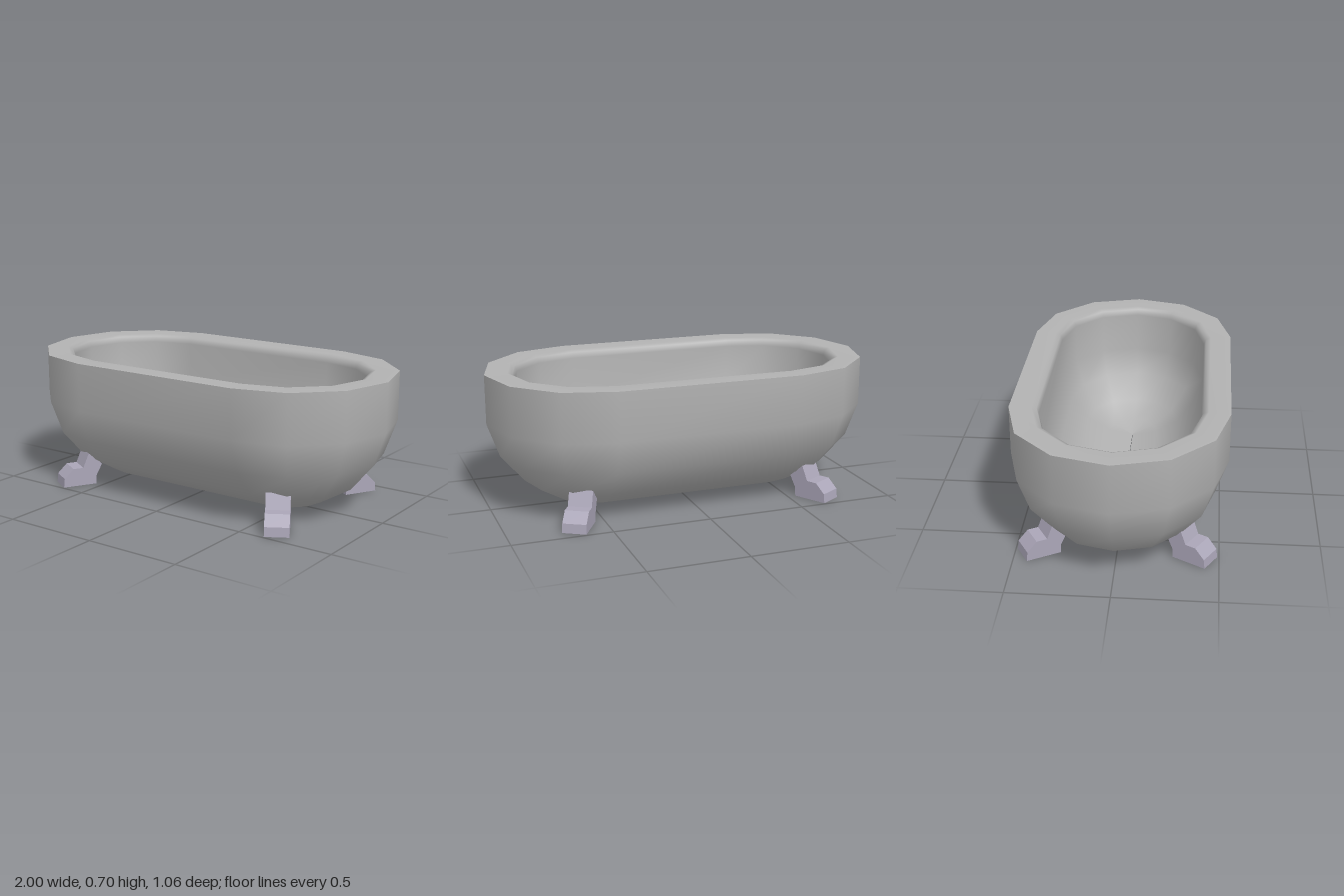
import * as THREE from 'three';

const HALF = 6; // facets in each rounded end

// Closed loft of stadium rings; each ring is [straight half length, end radius in x, radius in z, y].
function stadiumShell(rings) {
  const pos = [], idx = [];
  const n = 2 * (HALF + 1);
  for (const [len, rx, rz, y] of rings) {
    for (let i = 0; i < n; i++) {
      const end = i <= HALF ? 1 : -1;
      const k = end > 0 ? i : i - 1;
      const a = Math.PI / 2 - (k * Math.PI) / HALF;
      pos.push(end * len + rx * Math.cos(a), y, rz * Math.sin(a));
    }
  }
  for (let r = 0; r < rings.length - 1; r++) {
    for (let i = 0; i < n; i++) {
      const j = (i + 1) % n;
      const a = r * n + i, b = r * n + j, c = a + n, d = b + n;
      idx.push(a, c, b, b, c, d);
    }
  }
  const g = new THREE.BufferGeometry();
  g.setAttribute('position', new THREE.Float32BufferAttribute(pos, 3));
  g.setIndex(idx);
  g.computeVertexNormals();
  return g;
}

export function createModel() {
  const model = new THREE.Group();
  model.name = 'bathtub';

  const enamel = new THREE.MeshStandardMaterial({ color: 0xb2b2b2 });
  enamel.name = 'grey enamel';
  const metal = new THREE.MeshStandardMaterial({ color: 0xaba6b8, flatShading: true });
  metal.name = 'violet grey metal';

  const add = (name, geometry, material, parent = model) => {
    const mesh = new THREE.Mesh(geometry, material);
    mesh.name = name;
    parent.add(mesh);
    return mesh;
  };

  // Outer body, from the rim edge down to the keel line
  add('outerShell', stadiumShell([
    [0.468, 0.532, 0.532, 0.70],
    [0.468, 0.532, 0.532, 0.45],
    [0.468, 0.47, 0.47, 0.275],
    [0.468, 0.35, 0.355, 0.135],
    [0.468, 0.185, 0.187, 0.037],
    [0.468, 0.001, 0.001, 0.004],
  ]), enamel);

  // Flat rim rolling over into the basin, from the floor up to the rim edge
  add('rimAndBasin', stadiumShell([
    [0.445, 0.001, 0.001, 0.09],
    [0.445, 0.14, 0.135, 0.115],
    [0.445, 0.26, 0.25, 0.185],
    [0.445, 0.355, 0.34, 0.31],
    [0.445, 0.405, 0.39, 0.45],
    [0.445, 0.405, 0.39, 0.66],
    [0.449, 0.412, 0.40, 0.69],
    [0.453, 0.43, 0.425, 0.70],
    [0.468, 0.532, 0.532, 0.70],
  ]), enamel);

  // Eight sided drain ring with a recessed plug
  const drainProfile = [[0.05, 0.085], [0.05, 0.105], [0.04, 0.115], [0.03, 0.115], [0.024, 0.105], [0, 0.105]]
    .map(([r, y]) => new THREE.Vector2(r, y));
  const drain = add('drain', new THREE.LatheGeometry(drainProfile, 8), metal);
  drain.position.x = -0.47;

  // Four splayed feet: toe, instep, ankle reaching in to the body, heel
  const footProfile = [
    [0.09, 0], [0.085, 0.047], [0.035, 0.096], [-0.02, 0.096],
    [-0.052, 0.172], [-0.125, 0.107], [-0.092, 0.045], [-0.09, 0],
  ].map(([x, y]) => new THREE.Vector2(x, y));
  const footGeometry = new THREE.ExtrudeGeometry(new THREE.Shape(footProfile), { depth: 0.12, bevelEnabled: false });
  footGeometry.translate(0, 0, -0.06);
  const splay = Math.PI / 6;
  for (const sx of [1, -1]) {
    for (const sz of [1, -1]) {
      const name = (sz > 0 ? 'front' : 'back') + (sx > 0 ? 'Left' : 'Right') + 'Foot';
      const foot = add(name, footGeometry, metal);
      foot.position.set(sx * 0.64, 0, sz * 0.3825);
      foot.rotation.y = Math.atan2(-sz * Math.cos(splay), sx * Math.sin(splay));
    }
  }
  return model;
}
